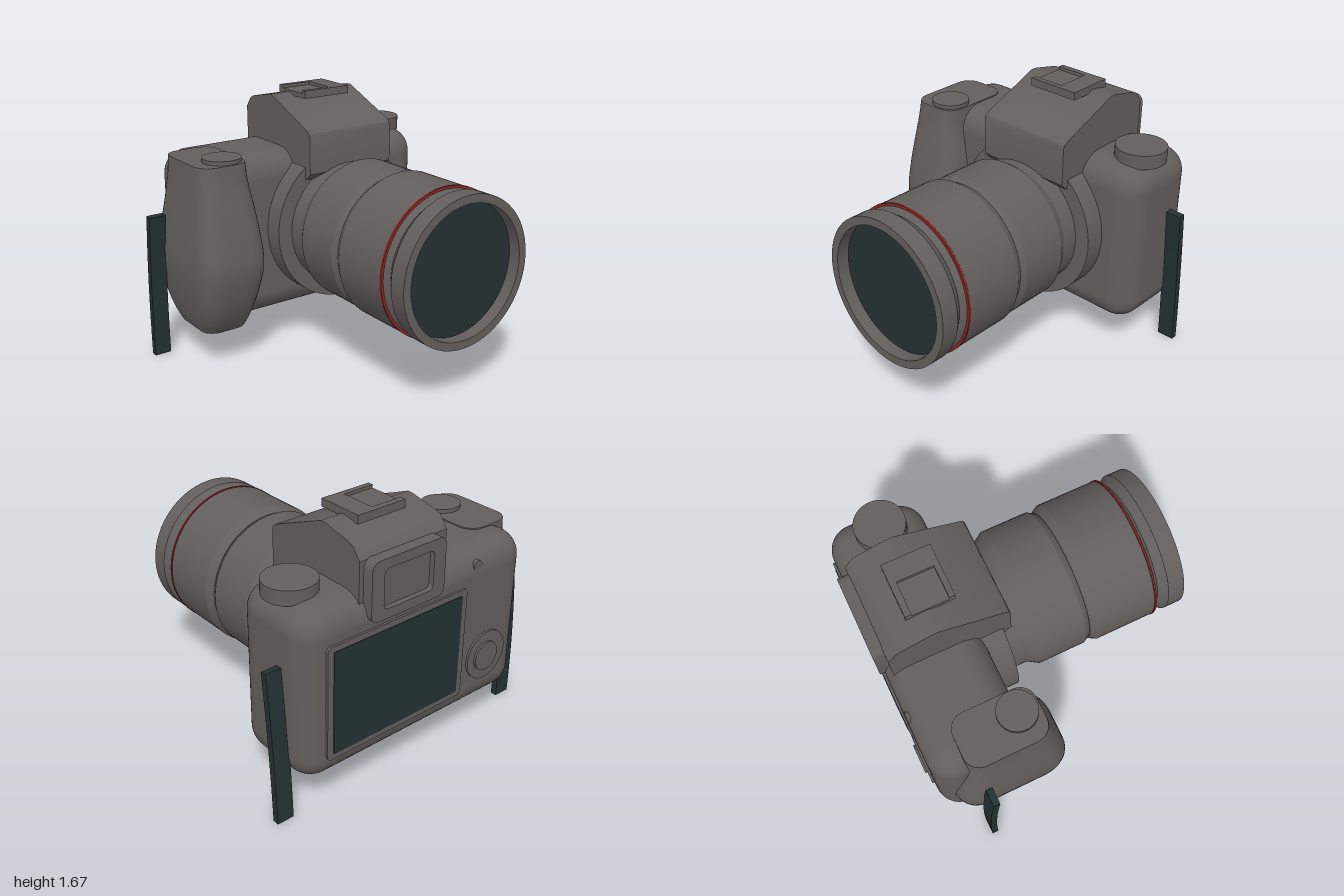
import * as THREE from 'three';
import { toCreasedNormals } from 'three/addons/utils/BufferGeometryUtils.js';
import { RoundedBoxGeometry } from 'three/addons/geometries/RoundedBoxGeometry.js';

const grey = new THREE.MeshStandardMaterial({ color: 0x625e5c });
grey.name = 'bodyGrey';
const dark = new THREE.MeshStandardMaterial({ color: 0x243132 });
dark.name = 'glassAndStrapDark';
const red = new THREE.MeshStandardMaterial({ color: 0x8a2424 });
red.name = 'ringRed';

function roundedRect(cx, cy, w, h, r, Type = THREE.Shape) {
  const s = new Type(), x = w / 2 - r, y = h / 2 - r;
  s.absarc(cx + x, cy + y, r, 0, Math.PI / 2);
  s.absarc(cx - x, cy + y, r, Math.PI / 2, Math.PI);
  s.absarc(cx - x, cy - y, r, Math.PI, Math.PI * 1.5);
  s.absarc(cx + x, cy - y, r, Math.PI * 1.5, Math.PI * 2);
  s.closePath();
  return s;
}

const extrude = (shape, depth) => toCreasedNormals(
  new THREE.ExtrudeGeometry(shape, { depth, bevelEnabled: false, curveSegments: 8 }), 0.5);

// Plate on the back: shape x runs along z, depth runs towards -x
const backPlate = (shape, x, depth) => extrude(shape, depth).rotateY(-Math.PI / 2).translate(x, 0, 0);

// Lathe around the lens axis: points are [x, radius]
const LENS_Y = 0.828, LENS_Z = -0.177;
const lensLathe = (pts) => toCreasedNormals(
  new THREE.LatheGeometry(pts.map(([x, r]) => new THREE.Vector2(r, x)), 72), 0.4)
  .rotateZ(-Math.PI / 2).translate(0, LENS_Y, LENS_Z);

// Grip: rounded rectangles stacked along y
function gripGeometry() {
  // y, x min, x max, z min, z max
  const sections = [
    [0.24, -0.69, -0.29, 0.52, 0.82],
    [0.33, -0.765, -0.225, 0.505, 0.85],
    [0.48, -0.83, -0.16, 0.475, 0.88],
    [0.68, -0.855, -0.117, 0.442, 0.897],
    [0.86, -0.83, -0.137, 0.452, 0.888],
    [1.04, -0.785, -0.172, 0.475, 0.868],
    [1.2, -0.752, -0.208, 0.5, 0.85],
    [1.33, -0.745, -0.23, 0.505, 0.84],
  ];
  const spline = (a, b) => new THREE.CatmullRomCurve3(
    sections.map((s) => new THREE.Vector3(s[a], s[0], s[b])), false, 'catmullrom');
  const xs = spline(1, 2), zs = spline(3, 4);
  const rows = 28, corner = 7, n = 4 * (corner + 1), pos = [], idx = [];
  for (let i = 0; i <= rows; i++) {
    const px = xs.getPoint(i / rows), pz = zs.getPoint(i / rows);
    const cx = (px.x + px.z) / 2, cz = (pz.x + pz.z) / 2;
    const hx = (px.z - px.x) / 2, hz = (pz.z - pz.x) / 2, r = Math.min(hx, hz) * 0.6;
    for (let q = 0; q < 4; q++) for (let k = 0; k <= corner; k++) {
      const a = (q + k / corner) * Math.PI / 2;
      const sx = q === 0 || q === 3 ? 1 : -1, sz = q < 2 ? -1 : 1;
      pos.push(cx + sx * (hx - r) + r * Math.cos(a), px.y, cz + sz * (hz - r) - r * Math.sin(a));
    }
  }
  for (let i = 0; i < rows; i++) for (let j = 0; j < n; j++) {
    const a = i * n + j, b = i * n + (j + 1) % n;
    idx.push(a, b, b + n, a, b + n, a + n);
  }
  for (let j = 1; j < n - 1; j++) {
    idx.push(0, j + 1, j);
    idx.push(rows * n, rows * n + j, rows * n + j + 1);
  }
  const g = new THREE.BufferGeometry();
  g.setAttribute('position', new THREE.Float32BufferAttribute(pos, 3));
  g.setIndex(idx);
  return toCreasedNormals(g, 0.6);
}

// Hanging strap: curved side outline given by bottom, bend and top x, extruded along z
function strapGeometry(bottom, bend, top, z) {
  const s = new THREE.Shape(), w = 0.021;
  s.moveTo(bottom - w, 0);
  s.lineTo(bottom + w, 0);
  s.quadraticCurveTo(bend + w, 0.5, top + w, 0.955);
  s.lineTo(top - w, 0.96);
  s.quadraticCurveTo(bend - w, 0.5, bottom - w, 0);
  return extrude(s, 0.11).translate(0, 0, z);
}

export function createModel() {
  const model = new THREE.Group();
  const add = (name, geometry, material = grey) => {
    const m = new THREE.Mesh(geometry, material);
    m.name = name;
    model.add(m);
    return m;
  };
  const disc = (name, r, h, x, y, z) =>
    add(name, new THREE.CylinderGeometry(r, r, h, 40).translate(x, y + h / 2, z));

  // Body and grip
  add('body', new RoundedBoxGeometry(0.6, 1.075, 1.7, 6, 0.16).translate(-0.64, 0.785, -0.05));
  add('grip', gripGeometry());
  disc('shutterButton', 0.122, 0.03, -0.363, 1.325, 0.635);
  disc('leftDial', 0.158, 0.09, -0.61, 1.3, -0.735);
  disc('rightDial', 0.158, 0.015, -0.61, 1.31, -0.735);

  // Viewfinder hump
  const hump = new THREE.Shape([
    [-0.9, 1.16], [-0.2, 1.16], [-0.158, 1.2], [-0.158, 1.435], [-0.167, 1.458], [-0.19, 1.475],
    [-0.59, 1.638], [-0.63, 1.636], [-0.82, 1.595], [-0.85, 1.58], [-0.9, 1.515],
  ].map(([x, y]) => new THREE.Vector2(x, y)));
  add('viewfinderHump', extrude(hump, 0.63).translate(0, 0, -0.505));

  // Accessory shoe: base plate with a U-shaped rim
  add('shoeBase', new THREE.BoxGeometry(0.3, 0.03, 0.34).translate(-0.57, 1.635, -0.19));
  const rim = new THREE.Shape([
    [-0.72, 0.02], [-0.68, 0.02], [-0.68, 0.23], [-0.455, 0.23], [-0.455, 0.02],
    [-0.42, 0.02], [-0.42, 0.36], [-0.72, 0.36],
  ].map(([x, y]) => new THREE.Vector2(x, y)));
  add('shoeRim', extrude(rim, 0.02).rotateX(-Math.PI / 2).translate(0, 1.65, 0));

  // Eyepiece
  const eye = roundedRect(-0.208, 1.34, 0.535, 0.36, 0.05);
  eye.holes.push(roundedRect(-0.208, 1.34, 0.36, 0.24, 0.03, THREE.Path));
  add('eyepieceFrame', backPlate(eye, -0.88, 0.088));
  add('eyepieceWindow', backPlate(roundedRect(-0.208, 1.34, 0.38, 0.26, 0.03), -0.89, 0.045));

  // Rear screen and controls
  add('screenFrame', backPlate(roundedRect(-0.243, 0.76, 1.03, 0.72, 0.03), -0.93, 0.024));
  add('screen', backPlate(roundedRect(-0.243, 0.76, 0.95, 0.65, 0.01), -0.952, 0.006), dark);
  const backDisc = (name, r, x, depth, y, z) =>
    add(name, new THREE.CylinderGeometry(r, r, depth, 40).rotateZ(Math.PI / 2).translate(x - depth / 2, y, z));
  backDisc('controlPad', 0.16, -0.92, 0.034, 0.595, 0.48);
  backDisc('controlWheel', 0.095, -0.93, 0.038, 0.595, 0.47);
  backDisc('rearButton', 0.035, -0.9, 0.035, 1.22, 0.37);

  // Lens
  add('lensMount', lensLathe([[-0.4, 0.51], [-0.21, 0.51], [-0.21, 0.4]]));
  add('lensBarrel', lensLathe([
    [-0.25, 0.412], [-0.1, 0.412], [-0.03, 0.455], [0.28, 0.455], [0.318, 0.43], [0.318, 0.437],
    [0.37, 0.467], [0.755, 0.467], [0.8, 0.425], [0.855, 0.467], [0.965, 0.467],
    [0.965, 0.415], [0.88, 0.415],
  ]));
  add('lensRing', lensLathe([[0.758, 0.45], [0.758, 0.47], [0.77, 0.47], [0.77, 0.44]]), red);
  add('lensGlass', new THREE.CircleGeometry(0.417, 72).rotateY(Math.PI / 2)
    .translate(0.885, LENS_Y, LENS_Z), dark);

  // Straps
  add('rightStrap', strapGeometry(-0.71, -0.72, -0.67, 0.89), dark);
  add('leftStrap', strapGeometry(-0.793, -0.77, -0.72, -1.0), dark);

  return model;
}
